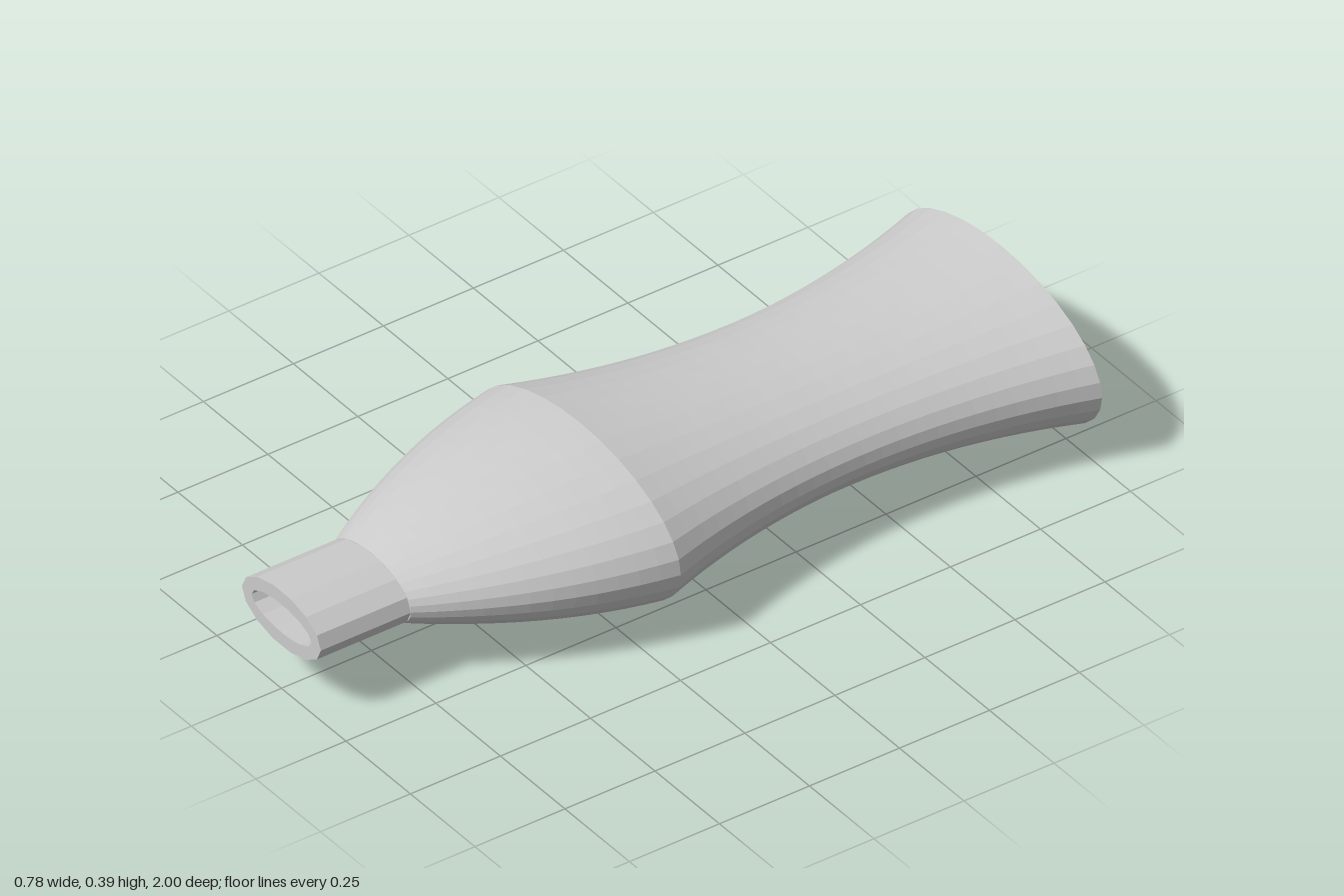
import * as THREE from 'three';

const RX = 0.39, NECK = 0.153, WALL = 0.037, MID_Y = 0.196;
const Z_BACK = -1, Z_BULGE = 0.17, Z_SHOULDER = 0.75, Z_FRONT = 1;

// Half width of the body at z: a curved waist, then a rounded shoulder
function halfWidth(z) {
  if (z <= Z_BULGE) {
    const t = (2 * (z - Z_BACK)) / (Z_BULGE - Z_BACK) - 1;
    return 0.29 + (RX - 0.29) * t * t;
  }
  const u = (z - Z_BULGE) / (Z_SHOULDER - Z_BULGE);
  return RX - 0.105 * u - (RX - NECK - 0.105) * u * u;
}

// Elliptical ring, half as high as wide, inset by the wall thickness
const ring = (rx, z, inset = 0) => [Math.max(rx - inset, 0), Math.max(rx / 2 - inset, 0), z];

// Skin a list of elliptical rings
function loft(rings, sides) {
  const pos = [], index = [];
  for (const [rx, ry, z] of rings) {
    for (let j = 0; j < sides; j++) {
      const a = (j / sides) * Math.PI * 2;
      pos.push(rx * Math.cos(a), MID_Y + ry * Math.sin(a), z);
    }
  }
  for (let i = 0; i < rings.length - 1; i++) {
    for (let j = 0; j < sides; j++) {
      const k = (j + 1) % sides;
      const a = i * sides + j, b = i * sides + k, c = a + sides, d = b + sides;
      if (rings[i][0] > 0) index.push(a, c, b);
      if (rings[i + 1][0] > 0) index.push(b, c, d);
    }
  }
  const g = new THREE.BufferGeometry();
  g.setAttribute('position', new THREE.Float32BufferAttribute(pos, 3));
  g.setIndex(index);
  g.computeVertexNormals();
  return g;
}

export function createModel() {
  const group = new THREE.Group();
  const material = new THREE.MeshStandardMaterial({ color: 0xcccccc, flatShading: true });
  const add = (name, geometry) => {
    const mesh = new THREE.Mesh(geometry, material);
    mesh.name = name;
    group.add(mesh);
  };

  // Stations along the body, from the shoulder to the flat base
  const stations = [];
  for (let i = 0; i < 12; i++) stations.push(Z_SHOULDER + ((Z_BULGE - Z_SHOULDER) * i) / 12);
  for (let i = 0; i <= 24; i++) stations.push(Z_BULGE + ((Z_BACK - Z_BULGE) * i) / 24);

  // Hollow body: inner skin from the base forward, outer skin back again, base cap
  const inner = stations.map((z) => ring(halfWidth(z), Math.max(z, Z_BACK + WALL), WALL)).reverse();
  const outer = stations.map((z) => ring(halfWidth(z), z));
  add('body', loft([[0, 0, Z_BACK + WALL], ...inner, ...outer, [0, 0, Z_BACK]], 32));

  // Neck tube with an open mouth
  const neckBack = Z_SHOULDER - 0.01;
  add('neck', loft([
    ring(NECK, neckBack, WALL),
    ring(NECK, Z_FRONT, WALL),
    ring(NECK, Z_FRONT),
    ring(NECK, neckBack),
  ], 14));

  return group;
}
